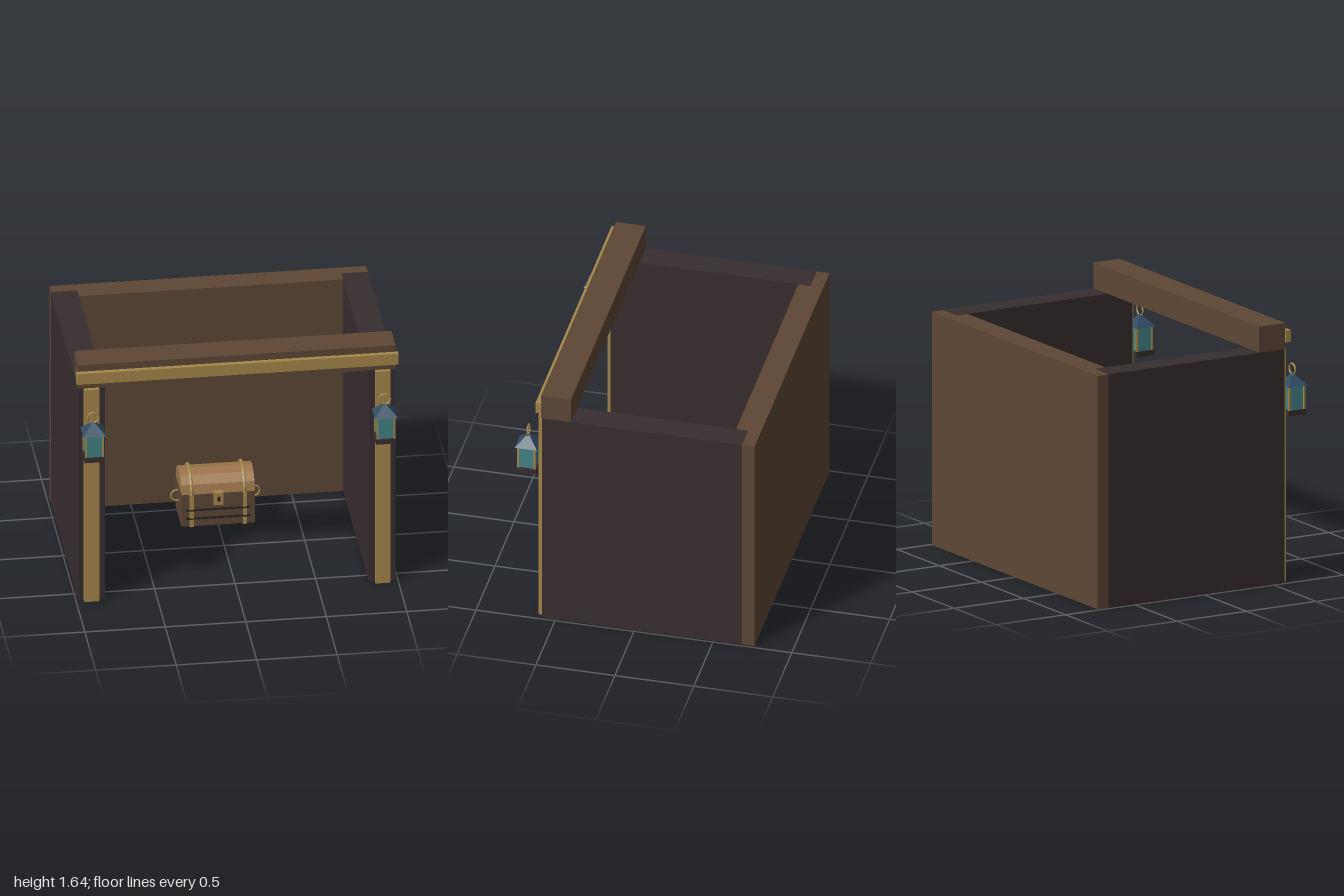
import * as THREE from 'three';

const mat = (name, color) => {
  const m = new THREE.MeshStandardMaterial({ color, flatShading: true });
  m.name = name;
  return m;
};

export function createModel() {
  const wood = mat('brown wood', 0x5e4736);
  const dark = mat('dark wood', 0x372d2f);
  const gold = mat('brass', 0xa5884a);
  const lidWood = mat('light wood', 0x9c754a);
  const glass = mat('teal glass', 0x438488);
  const blue = mat('blue roof', 0x2f4b63);
  const iron = mat('black iron', 0x28221f);

  const root = new THREE.Group();
  root.name = 'stall';

  const add = (parent, name, geometry, material, x = 0, y = 0, z = 0) => {
    const m = new THREE.Mesh(geometry, material);
    m.name = name;
    m.position.set(x, y, z);
    parent.add(m);
    return m;
  };
  // Box given by its min and max on each axis
  const box = (parent, name, material, x0, x1, y0, y1, z0, z1) =>
    add(parent, name, new THREE.BoxGeometry(x1 - x0, y1 - y0, z1 - z0), material,
      (x0 + x1) / 2, (y0 + y1) / 2, (z0 + z1) / 2);

  // Walls, beam and trim
  box(root, 'backWall', wood, -0.984, 0.984, 0.001, 1.479, -0.76, -0.603);
  box(root, 'beam', wood, -0.985, 0.985, 1.481, 1.645, 0.403, 0.592);
  box(root, 'beamTrim', gold, -1, 1, 1.525, 1.6, 0.588, 0.623);

  // Hanging lantern, built around its own vertical axis
  const makeLantern = (name) => {
    const g = new THREE.Group();
    g.name = name;
    box(g, 'lanternBase', dark, -0.063, 0.063, 1.045, 1.078, -0.063, 0.063);
    box(g, 'lanternGlass', glass, -0.052, 0.052, 1.078, 1.228, -0.052, 0.052);
    for (const sx of [-1, 1]) for (const sz of [-1, 1]) {
      add(g, 'lanternCorner', new THREE.BoxGeometry(0.012, 0.15, 0.012), gold,
        sx * 0.053, 1.153, sz * 0.053);
    }
    const roof = new THREE.ConeGeometry(0.071 * Math.SQRT2, 0.075, 4).rotateY(Math.PI / 4);
    add(g, 'lanternRoof', roof, blue, 0, 1.2645, 0);
    add(g, 'lanternRing', new THREE.TorusGeometry(0.035, 0.006, 6, 16), gold, 0, 1.326, 0);
    return g;
  };

  for (const [s, side] of [[1, 'left'], [-1, 'right']]) {
    add(root, side + 'Wall', new THREE.BoxGeometry(0.165, 1.48, 1.265), dark, s * 0.9025, 0.74, -0.0475);
    add(root, side + 'Post', new THREE.BoxGeometry(0.095, 1.48, 0.032), gold, s * 0.904, 0.74, 0.599);
    const lantern = makeLantern(side + 'Lantern');
    lantern.position.set(s * 0.905, 0, 0.69);
    root.add(lantern);
  }

  // Chest
  const chest = new THREE.Group();
  chest.name = 'chest';
  chest.position.z = -0.411;
  root.add(chest);
  const D = 0.136, H = 0.22, RISE = 0.117;
  box(chest, 'chestBody', wood, -0.228, 0.228, 0, H, -D, D);

  // Faceted half-round lid
  const arch = new THREE.Shape();
  for (let i = 0; i <= 6; i++) {
    const a = (i / 6) * Math.PI;
    const px = Math.cos(a) * D, py = Math.sin(a) * RISE;
    if (i) arch.lineTo(px, py); else arch.moveTo(px, py);
  }
  arch.closePath();
  const lid = new THREE.ExtrudeGeometry(arch, { depth: 0.456, bevelEnabled: false });
  lid.translate(0, 0, -0.228).rotateY(Math.PI / 2);
  add(chest, 'chestLid', lid, lidWood, 0, H, 0);

  for (const s of [-1, 1]) {
    // Straps on the front and back, joined over the lid
    for (const f of [-1, 1]) {
      add(chest, 'strap', new THREE.BoxGeometry(0.025, H, 0.014), gold, s * 0.165, H / 2, f * 0.142);
      for (const y of [0.03, 0.19]) {
        add(chest, 'rivet', new THREE.SphereGeometry(0.008, 6, 4), gold, s * 0.165, y, f * 0.149);
      }
    }
    const band = new THREE.TorusGeometry(0.141, 0.011, 6, 12, Math.PI);
    band.scale(1, 0.89, 1).rotateY(Math.PI / 2);
    add(chest, 'lidStrap', band, gold, s * 0.165, H, 0);
    // Ring handles on the ends
    add(chest, 'handle', new THREE.TorusGeometry(0.036, 0.006, 6, 16), gold, s * 0.24, 0.15, 0);
  }

  // Iron bars across the front and back
  for (const f of [-1, 1]) for (const y of [0.057, 0.115]) {
    add(chest, 'ironBar', new THREE.BoxGeometry(0.4, 0.009, 0.016), iron, 0, y, f * 0.142);
  }

  // Lock with keyhole
  box(chest, 'lock', gold, -0.029, 0.029, 0.152, 0.237, 0.13, 0.166);
  box(chest, 'keyhole', iron, -0.01, 0.01, 0.178, 0.21, 0.163, 0.169);

  return root;
}
